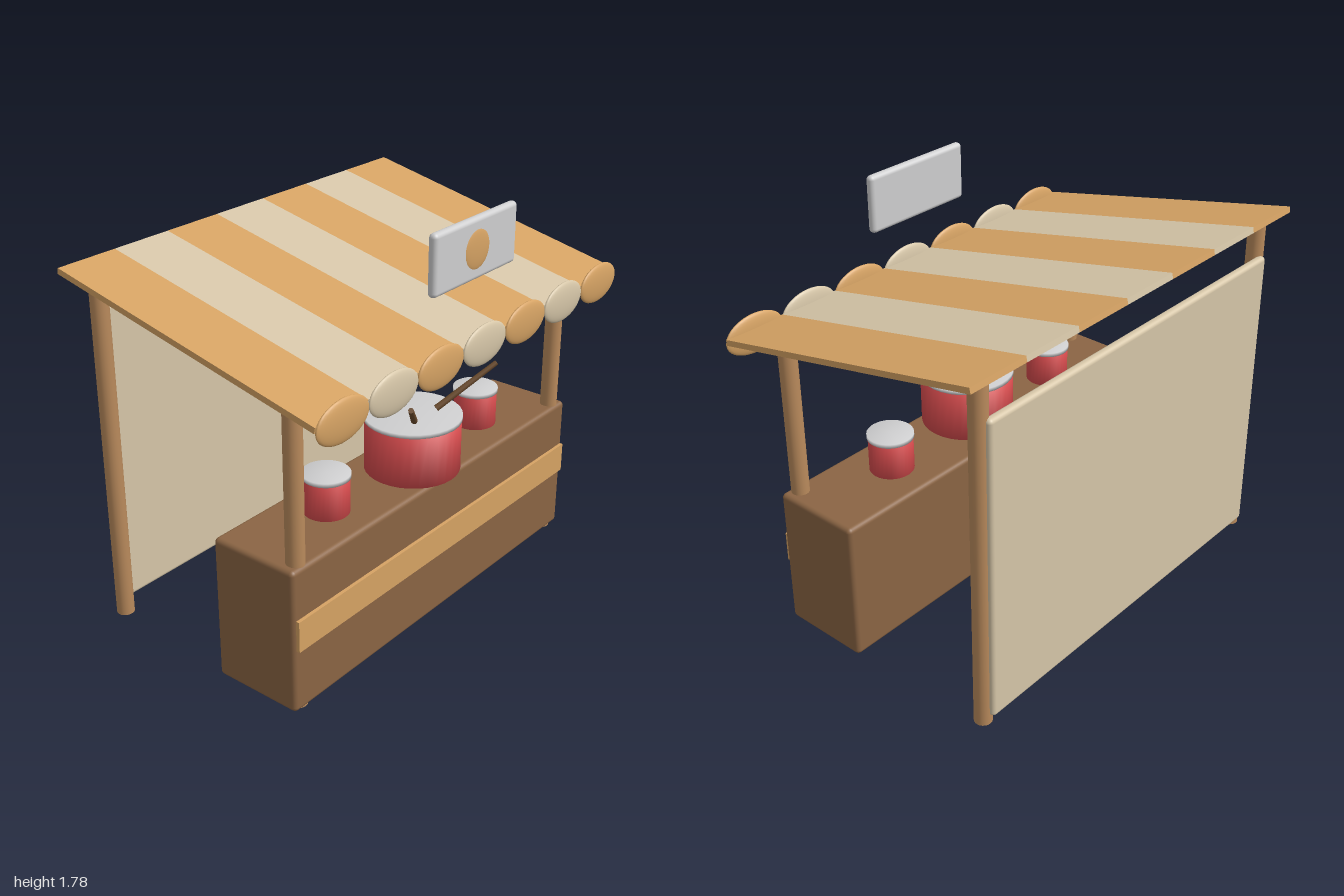
import * as THREE from 'three';
import { mergeVertices } from 'three/addons/utils/BufferGeometryUtils.js';
import { RoundedBoxGeometry } from 'three/addons/geometries/RoundedBoxGeometry.js';

export function createModel() {
  const group = new THREE.Group();
  const mat = (name, color) => {
    const m = new THREE.MeshStandardMaterial({ color });
    m.name = name;
    return m;
  };
  const counterWood = mat('counter wood', 0x8b6544);
  const postWood = mat('post wood', 0xb98a5c);
  const amber = mat('amber', 0xd6a364);
  const cream = mat('cream', 0xd6c6a8);
  const red = mat('red enamel', 0xd94c4e);
  const steel = mat('pale steel', 0xcfcfd0);
  const darkWood = mat('dark wood', 0x6e4d2e);

  const add = (name, geometry, material, x, y, z) => {
    const mesh = new THREE.Mesh(geometry, material);
    mesh.name = name;
    mesh.position.set(x, y, z);
    group.add(mesh);
    return mesh;
  };
  // Cylinder with normals blended over its rims
  const softCylinder = (r, h) => {
    const g = new THREE.CylinderGeometry(r, r, h, 32);
    g.deleteAttribute('uv');
    g.deleteAttribute('normal');
    const merged = mergeVertices(g);
    merged.computeVertexNormals();
    return merged;
  };
  const ellipsoid = (rx, ry, rz) => new THREE.SphereGeometry(1, 28, 18).scale(rx, ry, rz);

  // Counter with its front band
  add('counter', new RoundedBoxGeometry(1.89, 0.635, 0.405, 3, 0.02), counterWood, 0, 0.3225, 0.2625);
  add('counterBand', new THREE.BoxGeometry(1.86, 0.135, 0.03), amber, 0, 0.3575, 0.465);

  // Posts and back wall
  for (const s of [-1, 1]) {
    add('frontPost', new THREE.CylinderGeometry(0.038, 0.038, 1.31, 20), postWood, s * 0.877, 0.655, 0.42);
    add('backPost', new THREE.CylinderGeometry(0.038, 0.038, 1.55, 20), postWood, s * 0.877, 0.775, -0.572);
  }
  add('backWall', new RoundedBoxGeometry(1.76, 1.35, 0.04, 3, 0.018), cream, 0, 0.715, -0.61);

  // Striped sloping roof with a scalloped front edge
  const stripe = 2 / 7;
  const slope = Math.atan2(0.27, 1.28);
  for (let i = 0; i < 7; i++) {
    const x = (i - 3) * stripe;
    const colour = i % 2 ? cream : amber;
    const panel = add('roofStripe', new THREE.BoxGeometry(stripe, 0.025, 1.31), colour, x, 1.436, -0.01);
    panel.rotation.x = slope;
    add('scallop', ellipsoid(stripe / 2, 0.085, 0.02), colour, x, 1.287, 0.635);
  }

  // Sign board with a round boss
  add('signBoard', new RoundedBoxGeometry(0.54, 0.25, 0.04, 3, 0.019), steel, 0, 1.66, 0.565);
  add('signBoss', ellipsoid(0.083, 0.083, 0.012), amber, 0, 1.66, 0.581);

  // Lidded pots
  const pot = (x, z, r, h) => {
    add('pot', softCylinder(r, h), red, x, 0.64 + h / 2, z);
    add('potLid', softCylinder(r + 0.004, 0.018), steel, x, 0.64 + h + 0.007, z);
  };
  pot(0, 0.297, 0.203, 0.23);
  pot(-0.51, 0.26, 0.095, 0.155);
  pot(0.51, 0.26, 0.095, 0.155);

  // Stirring sticks leaning outwards
  for (const s of [-1, 1]) {
    const base = new THREE.Vector3(s * 0.075, 0.897, 0.36);
    const tip = new THREE.Vector3(s * 0.293, 1.07, 0.505);
    const dir = tip.clone().sub(base);
    const mid = base.clone().add(tip).multiplyScalar(0.5);
    const stick = add('stirringStick', new THREE.CylinderGeometry(0.011, 0.014, dir.length(), 12), darkWood, mid.x, mid.y, mid.z);
    stick.quaternion.setFromUnitVectors(new THREE.Vector3(0, 1, 0), dir.normalize());
  }
  return group;
}
